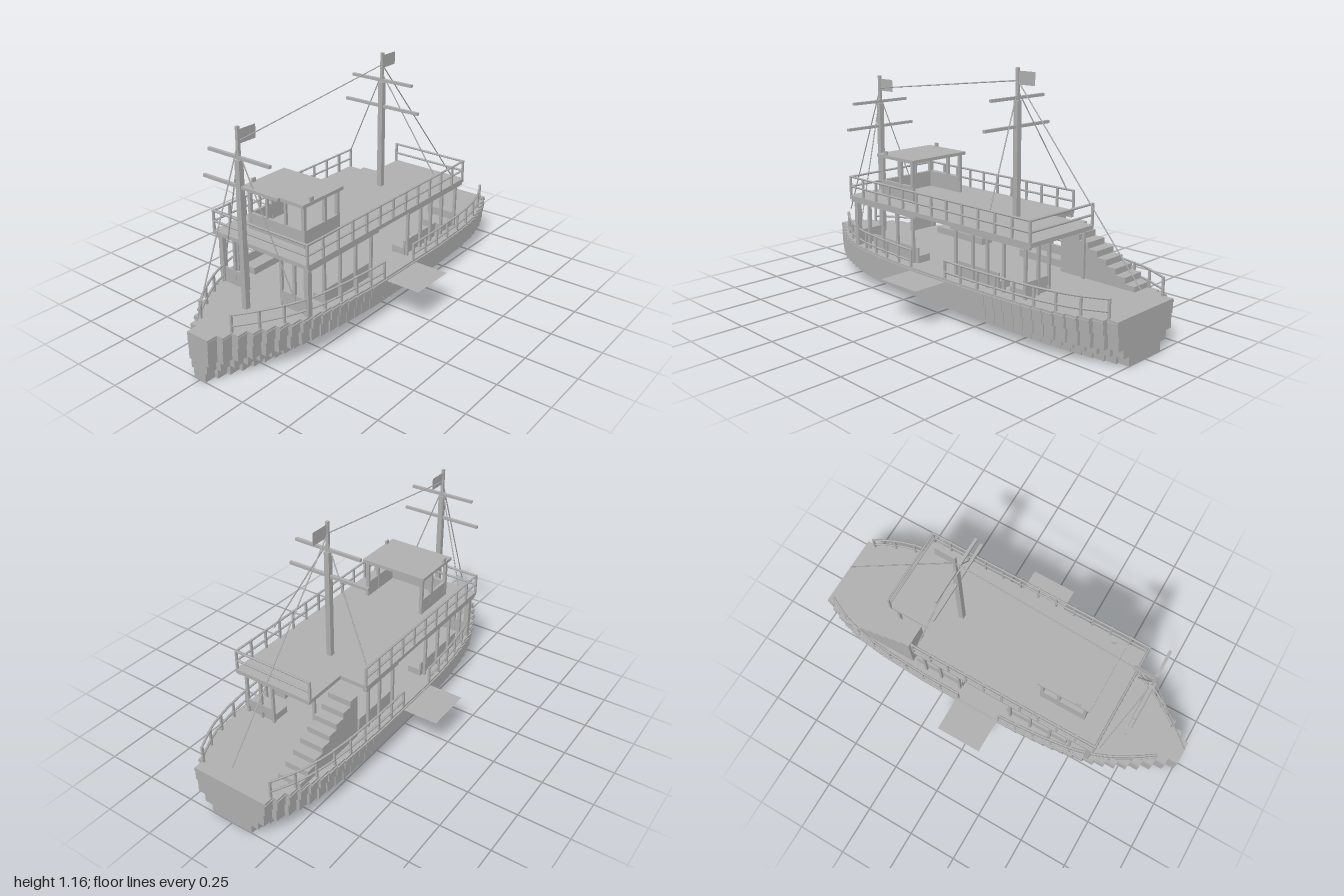
import * as THREE from 'three';

const gray = new THREE.MeshStandardMaterial({ color: 0xb0b0b0 });
gray.name = 'plain gray';
const grayThin = gray;
grayThin.side = THREE.DoubleSide;

// Half-width of the hull at deck level, bow to stern, as [z, x]
const BEAM = [[1, 0.02], [0.95, 0.06], [0.87, 0.115], [0.8, 0.165], [0.7, 0.22], [0.6, 0.262], [0.5, 0.285],
  [0.35, 0.305], [0.15, 0.32], [-0.3, 0.322], [-0.55, 0.31], [-0.7, 0.292], [-0.82, 0.26], [-0.92, 0.215], [-1, 0.17]];
function beam(z) {
  for (let i = 1; i < BEAM.length; i++) {
    const [z0, x0] = BEAM[i - 1], [z1, x1] = BEAM[i];
    if (z >= z1) return x0 + (x1 - x0) * (z0 - z) / (z0 - z1);
  }
  return 0.17;
}

export function createModel() {
  const root = new THREE.Group();
  root.name = 'tourBoat';

  const add = (parent, name, geo) => {
    const m = new THREE.Mesh(geo, gray);
    m.name = name;
    parent.add(m);
    return m;
  };
  const group = (name) => {
    const g = new THREE.Group();
    g.name = name;
    root.add(g);
    return g;
  };
  // Box given by its min and max on each axis
  const box = (parent, name, x0, x1, y0, y1, z0, z1) => {
    const m = add(parent, name, new THREE.BoxGeometry(x1 - x0, y1 - y0, z1 - z0));
    m.position.set((x0 + x1) / 2, (y0 + y1) / 2, (z0 + z1) / 2);
    return m;
  };
  // Straight round bar between two points
  const bar = (parent, name, a, b, r = 0.003) => {
    const p = new THREE.Vector3(...a), q = new THREE.Vector3(...b);
    const m = add(parent, name, new THREE.CylinderGeometry(r, r, p.distanceTo(q), 6));
    m.position.copy(p).lerp(q, 0.5);
    m.quaternion.setFromUnitVectors(new THREE.Vector3(0, 1, 0), q.sub(p).normalize());
    return m;
  };
  const post = (parent, x, z, y0, y1, w) =>
    box(parent, 'post', x - w / 2, x + w / 2, y0, y1, z - w / 2, z + w / 2);

  // Hull: stacked slabs, each with the same stepped outline scaled in width
  const hull = group('hull');
  const N = 38;
  [[0, 0.045, 0.56], [0.045, 0.085, 0.76], [0.085, 0.15, 0.94], [0.15, 0.198, 0.98],
    [0.198, 0.206, 1.01], [0.206, 0.215, 0.99]].forEach(([y0, y1, s]) => {
    const side = [];
    for (let i = 0; i < N; i++) {
      const z0 = 1 - 2 * i / N, z1 = 1 - 2 * (i + 1) / N;
      const w = s * Math.max(beam(z0), beam(z1), 0.035);
      side.push([w, z0], [w, z1]);
    }
    const pts = [...side, ...side.slice().reverse().map(([x, z]) => [-x, z])];
    const shape = new THREE.Shape(pts.map(([x, z]) => new THREE.Vector2(x, -z)));
    const g = new THREE.ExtrudeGeometry(shape, { depth: y1 - y0, bevelEnabled: false });
    g.rotateX(-Math.PI / 2);
    add(hull, 'hullLayer', g).position.y = y0;
  });

  // Railings round the main deck, open amidships for boarding
  const deckRail = group('mainDeckRailing');
  for (const s of [-1, 1]) {
    for (const [za, zb, n] of [[0.89, 0.115, 8], [-0.12, -0.95, 8]]) {
      const at = (t, y) => {
        const z = za + (zb - za) * t;
        return new THREE.Vector3(s * (beam(z) - 0.008), y, z);
      };
      for (const y of [0.245, 0.298]) {
        const pts = Array.from({ length: 13 }, (_, i) => at(i / 12, y));
        add(deckRail, 'rail', new THREE.TubeGeometry(new THREE.CatmullRomCurve3(pts), 24, 0.0055, 6));
      }
      for (let i = 0; i <= n; i++) {
        const p = at(i / n, 0);
        post(deckRail, p.x, p.z, 0.21, 0.302, 0.01);
      }
    }
    // Thin boarding platform on each side
    const plate = add(root, 'boardingPlatform', new THREE.PlaneGeometry(0.18, 0.24));
    plate.rotation.x = -Math.PI / 2;
    plate.position.set(s * 0.41, 0.2, -0.01);
  }

  // Open saloon: posts, beams and benches under the upper deck
  const saloon = group('saloon');
  for (const s of [-1, 1]) {
    for (const z of [0.49, 0.38, 0.27, 0.155, -0.14, -0.25, -0.34, -0.44, -0.565]) {
      if (s < 0 && z < -0.4) continue;
      post(saloon, s * 0.262, z, 0.215, 0.455, 0.013);
    }
    for (const [x, w] of [[0.255, 0.025], [0.18, 0.013], [0.105, 0.013]]) post(saloon, s * x, 0.59, 0.215, 0.455, w);
    box(saloon, 'frontPanel', ...(s > 0 ? [0.11, 0.255] : [-0.255, -0.11]), 0.215, 0.29, 0.585, 0.595);
    for (const [z0, z1] of [[0.13, 0.47], [-0.4, -0.13]]) {
      const seat = s > 0 ? [0.18, 0.252] : [-0.252, -0.18];
      const back = s > 0 ? [0.245, 0.255] : [-0.255, -0.245];
      box(saloon, 'benchSeat', ...seat, 0.215, 0.25, z0, z1);
      box(saloon, 'benchBack', ...back, 0.25, 0.292, z0, z1);
    }
    const edge = s > 0 ? [0.262, 0.28] : [-0.28, -0.262];
    box(saloon, 'beam', ...edge, 0.442, 0.456, 0.12, 0.61);
    box(saloon, 'beam', ...edge, 0.442, 0.456, s > 0 ? -0.6 : -0.38, -0.12);
  }
  for (const x of [-0.13, 0.11, 0.18]) post(saloon, x, -0.565, 0.215, 0.455, 0.013);
  box(saloon, 'rearBench', 0.11, 0.255, 0.215, 0.25, -0.56, -0.47);
  box(saloon, 'rearBenchBack', 0.11, 0.255, 0.25, 0.29, -0.57, -0.56);

  // Upper deck with a cut-out where the stairs come up
  const deckShape = new THREE.Shape([[-0.283, -0.62], [0.283, -0.62], [0.283, 0.61], [-0.138, 0.61],
    [-0.138, 0.38], [-0.283, 0.38]].map(([x, y]) => new THREE.Vector2(x, y)));
  const deckGeo = new THREE.ExtrudeGeometry(deckShape, { depth: 0.02, bevelEnabled: false });
  deckGeo.rotateX(-Math.PI / 2);
  add(root, 'upperDeck', deckGeo).position.y = 0.455;

  // Stairs from the after deck
  const stairs = group('stairs');
  for (let i = 0; i < 8; i++) {
    const z = -0.84 + i * 0.052;
    box(stairs, 'step', -0.262, -0.14, 0.21, 0.24 + i * 0.029, z, z + 0.052);
  }

  // Upper deck railing
  const upperRail = group('upperDeckRailing');
  const railRun = (x0, z0, x1, z1, n) => {
    for (const y of [0.52, 0.57]) bar(upperRail, 'rail', [x0, y, z0], [x1, y, z1], 0.0055);
    for (let i = 0; i <= n; i++) post(upperRail, x0 + (x1 - x0) * i / n, z0 + (z1 - z0) * i / n, 0.47, 0.574, 0.01);
  };
  railRun(0.278, 0.615, 0.278, -0.602, 12);
  railRun(-0.278, 0.615, -0.278, -0.38, 10);
  railRun(-0.278, 0.615, 0.278, 0.615, 1);
  railRun(-0.138, -0.602, 0.278, -0.602, 1);

  // Wheelhouse: low walls on three sides, posts and a flat roof
  const house = group('wheelhouse');
  box(house, 'frontWall', -0.16, 0.16, 0.475, 0.555, 0.49, 0.505);
  for (const s of [-1, 1]) {
    box(house, 'sideWall', s * 0.159 - 0.007, s * 0.159 + 0.007, 0.475, 0.555, 0.28, 0.5);
    for (const z of [0.272, 0.36, 0.498]) post(house, s * 0.159, z, 0.475, 0.678, 0.016);
    post(house, s * 0.055, 0.498, 0.55, 0.678, 0.012);
    box(house, 'lamp', s * 0.171 - 0.005, s * 0.171 + 0.005, 0.688, 0.707, 0.45, 0.472);
  }
  box(house, 'roof', -0.178, 0.178, 0.672, 0.688, 0.25, 0.522);

  // Masts with yards, flag and side stays
  const mast = (name, z, base, mid, top, yards, flagY, stayY, stay) => {
    const g = group(name);
    box(g, 'lowerMast', -0.013, 0.013, base, mid, z - 0.013, z + 0.013);
    box(g, 'topMast', -0.007, 0.007, mid, top, z - 0.007, z + 0.007);
    yards.forEach(([y, w]) => box(g, 'yard', -w, w, y - 0.007, y + 0.007, z - 0.007, z + 0.007));
    const flag = add(g, 'flag', new THREE.PlaneGeometry(0.1, 0.062));
    flag.rotation.y = Math.PI / 2;
    flag.position.set(0, flagY, z - 0.053);
    for (const s of [-1, 1]) bar(g, 'stay', [0, stayY, z], [s * stay[0], stay[1], stay[2]]);
  };
  mast('mainMast', -0.27, 0.47, 1.015, 1.16, [[1.025, 0.175], [0.895, 0.215]], 1.115, 1.06, [0.262, 0.57, -0.355]);
  mast('foreMast', 0.71, 0.21, 0.91, 1.055, [[0.92, 0.175], [0.79, 0.215]], 1.008, 0.95, [0.21, 0.305, 0.63]);

  // Lines along the centre
  const rigging = group('rigging');
  bar(rigging, 'bowLine', [0, 0.985, 0.71], [0, 0.285, 0.995]);
  bar(rigging, 'mastLine', [0, 0.99, 0.71], [0, 1.102, -0.27]);
  bar(rigging, 'sternLine', [0, 1.102, -0.27], [0, 0.29, -0.97]);

  return root;
}
